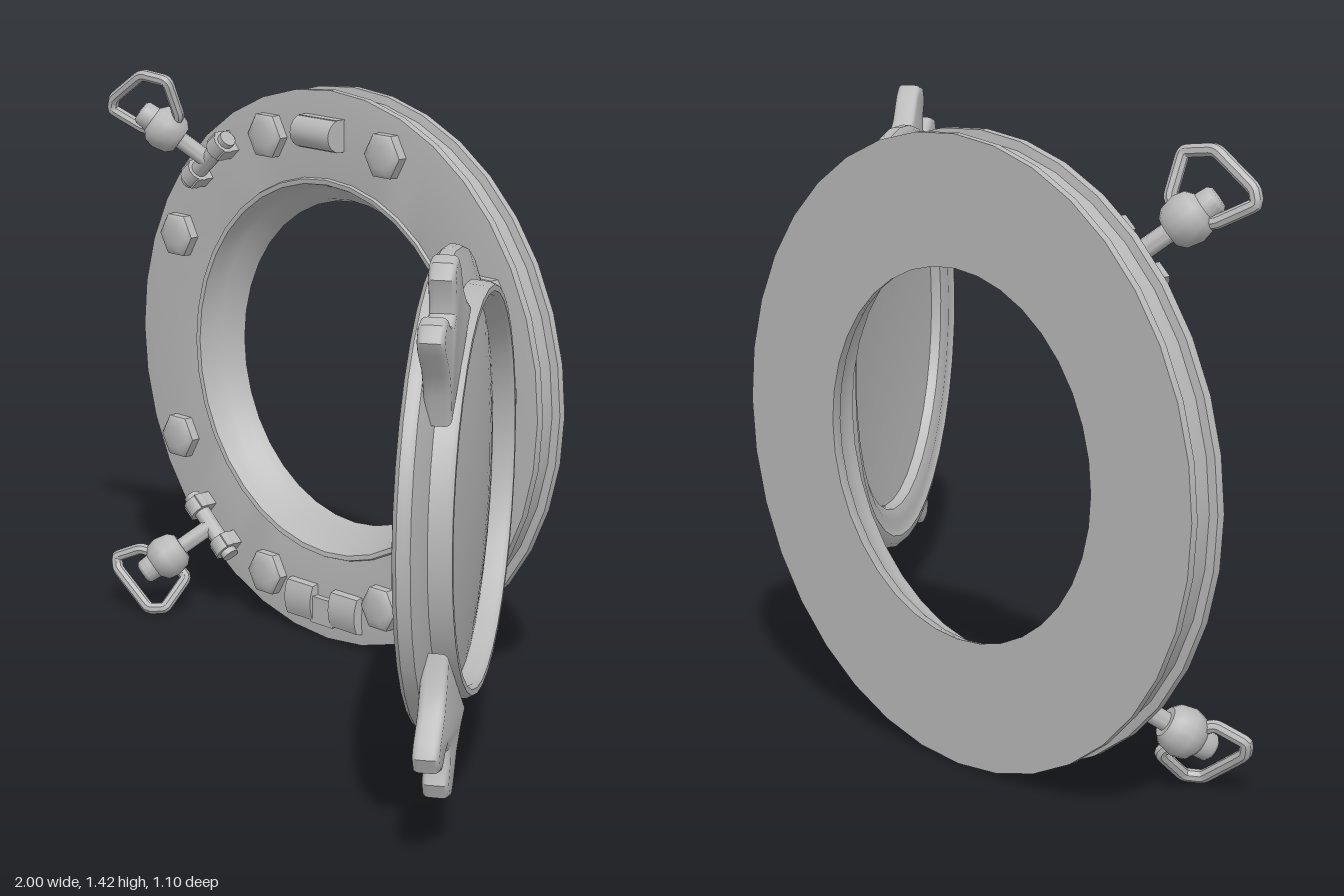
import * as THREE from 'three';
import { toCreasedNormals } from 'three/addons/utils/BufferGeometryUtils.js';

const metal = new THREE.MeshStandardMaterial({ color: 0xb8b8b8, side: THREE.DoubleSide });
metal.name = 'grey metal';

const V = (x, y, z) => new THREE.Vector3(x, y, z);

function add(parent, name, geometry, x = 0, y = 0, z = 0) {
  const mesh = new THREE.Mesh(toCreasedNormals(geometry, 0.75), metal);
  mesh.name = name;
  mesh.position.set(x, y, z);
  parent.add(mesh);
  return mesh;
}

// Turned ring or cap whose axis points along z; points are [radius, z]
function turned(points, segments = 36) {
  const g = new THREE.LatheGeometry(points.map(p => new THREE.Vector2(p[0], p[1])), segments);
  return g.rotateX(Math.PI / 2);
}

// Straight rod between two points
function rod(parent, name, a, b, radius) {
  const d = b.clone().sub(a);
  const m = add(parent, name, new THREE.CylinderGeometry(radius, radius, d.length(), 12));
  m.position.copy(a).add(b).multiplyScalar(0.5);
  m.quaternion.setFromUnitVectors(V(0, 1, 0), d.normalize());
}

function buildFrame() {
  const frame = new THREE.Group();
  frame.name = 'frame';
  frame.position.set(-0.295, 0.71, -0.5);

  // Double-flanged ring with a raised inner lip and a sloping inner wall
  add(frame, 'frameRing', turned([
    [0.415, -0.05], [0.705, -0.05], [0.705, -0.033], [0.685, -0.028], [0.685, 0.022],
    [0.705, 0.026], [0.705, 0.045], [0.66, 0.049], [0.487, 0.05], [0.484, 0.058],
    [0.472, 0.056], [0.464, 0.035], [0.452, 0], [0.425, -0.02], [0.415, -0.05],
  ]));

  // Hexagonal bolts
  for (const deg of [26.4, 70, 110, 153.6, 206.4, 250, 290, 333.6]) {
    const a = deg * Math.PI / 180;
    const bolt = turned([[0.06, 0], [0.06, 0.028], [0.05, 0.037], [0.03, 0.042], [0, 0.043]], 6);
    bolt.rotateZ(Math.PI / 2);
    add(frame, 'bolt', bolt, 0.608 * Math.cos(a), 0.608 * Math.sin(a), 0.045);
  }

  // Top stop: a rounded block across the ring
  const stop = new THREE.CylinderGeometry(0.04, 0.04, 0.135, 16).rotateZ(Math.PI / 2);
  add(frame, 'topStop', stop, -0.013, 0.6, 0.065);
  add(frame, 'topStopBase', new THREE.BoxGeometry(0.135, 0.08, 0.03), -0.013, 0.6, 0.06);

  // Bottom rest: two pads joined by a narrow bridge
  for (const s of [-1, 1]) {
    const pad = new THREE.Shape();
    pad.moveTo(-0.05, 0);
    pad.lineTo(0.05, 0);
    pad.lineTo(0.045, 0.022);
    pad.quadraticCurveTo(0, 0.042, -0.045, 0.022);
    pad.closePath();
    const g = new THREE.ExtrudeGeometry(pad, { depth: 0.095, bevelEnabled: false, curveSegments: 6 });
    g.translate(0, 0, -0.0475).rotateY(Math.PI / 2).rotateX(Math.PI / 2);
    add(frame, 'bottomPad', g, s * 0.08, -0.615, 0.045);
  }
  add(frame, 'bottomBridge', new THREE.BoxGeometry(0.08, 0.07, 0.025), 0, -0.63, 0.055);
  return frame;
}

// Swing bolt: bracket ears, pin, shaft, round nut and a bent wire handle
function buildLatch(pivot, nut, handlePoints, name) {
  const latch = new THREE.Group();
  latch.name = name;
  const up = Math.sign(pivot.y - 0.71);
  const tangent = V(0.76, up * 0.65, 0);
  const at = k => pivot.clone().addScaledVector(tangent, k);
  rod(latch, 'latchPin', at(-0.1), at(0.1), 0.022);
  for (const s of [-1, 1]) {
    const ear = add(latch, 'latchEar', new THREE.BoxGeometry(0.04, 0.06, 0.06));
    ear.position.copy(at(s * 0.065)).add(V(0, 0, -0.012));
    ear.rotation.z = Math.atan2(tangent.y, tangent.x);
    rod(latch, 'latchEarRound', at(s * 0.045), at(s * 0.085), 0.032);
  }
  const dir = nut.clone().sub(pivot).normalize();
  rod(latch, 'latchShaft', pivot, nut, 0.022);
  const body = new THREE.LatheGeometry([
    [0, -0.05], [0.035, -0.05], [0.05, -0.035], [0.058, 0], [0.052, 0.025],
    [0.034, 0.04], [0.032, 0.068], [0.024, 0.076], [0, 0.078],
  ].map(p => new THREE.Vector2(...p)), 16);
  const nutMesh = add(latch, 'latchNut', body);
  nutMesh.position.copy(nut);
  nutMesh.quaternion.setFromUnitVectors(V(0, 1, 0), dir);

  // Handle wire, with rounded corners and both ends sunk into the nut
  const pts = [nut, ...handlePoints, nut];
  const path = new THREE.CurvePath();
  let from = pts[0];
  for (let i = 1; i < pts.length - 1; i++) {
    const before = pts[i].clone().lerp(pts[i - 1], 0.14);
    const after = pts[i].clone().lerp(pts[i + 1], 0.14);
    path.add(new THREE.LineCurve3(from, before));
    path.add(new THREE.QuadraticBezierCurve3(before, pts[i], after));
    from = after;
  }
  path.add(new THREE.LineCurve3(from, pts[pts.length - 1]));
  add(latch, 'latchHandle', new THREE.TubeGeometry(path, 80, 0.015, 8, false));
  return latch;
}

function buildDoor() {
  const door = new THREE.Group();
  door.name = 'door';
  door.position.set(0.638, 0.71, 0.116);
  door.rotation.y = -0.969;

  // Sloping flange with the collar on its outer side
  add(door, 'doorRing', turned([
    [0.425, -0.096], [0.433, -0.106], [0.446, -0.106], [0.452, -0.096], [0.456, -0.056], [0.49, -0.046],
    [0.525, -0.033], [0.53, -0.022], [0.53, -0.004], [0.52, 0.006], [0.5, 0.01], [0.485, 0],
    [0.465, 0.002], [0.435, -0.012], [0.428, -0.03], [0.425, -0.096],
  ]));

  // Domed pane with an inner and an outer face
  const pane = [];
  for (let i = 0; i <= 8; i++) {
    const k = i / 8;
    pane.push([0.432 * k, -0.09 + 0.035 * k * k]);
  }
  for (let i = 8; i >= 0; i--) {
    const k = i / 8;
    pane.push([0.432 * k, -0.06 + 0.025 * k * k]);
  }
  add(door, 'pane', turned(pane));

  // Forked ears that take the swing bolts
  const fork = new THREE.Shape();
  const outline = [
    [0.45, 0.145], [0.5, 0.12], [0.56, 0.105], [0.63, 0.112], [0.655, 0.106], [0.667, 0.08],
    [0.655, 0.055], [0.615, 0.042], [0.585, 0.02],
  ];
  outline.forEach((p, i) => (i ? fork.lineTo(p[0], p[1]) : fork.moveTo(p[0], p[1])));
  outline.reverse().forEach(p => fork.lineTo(p[0], -p[1]));
  fork.closePath();
  for (const s of [-1, 1]) {
    const g = new THREE.ExtrudeGeometry(fork, {
      depth: 0.03, bevelEnabled: true, bevelSize: 0.01, bevelThickness: 0.014, bevelSegments: 3,
    });
    g.translate(0, 0, -0.08);
    add(door, 'forkedEar', g).rotation.z = s * 0.885;
  }

  // Hinge arms
  for (const s of [-1, 1]) {
    add(door, 'hingeArm', new THREE.BoxGeometry(0.15, 0.055, 0.06), -0.545, s * 0.105, -0.026);
    add(door, 'hingeArmEnd', new THREE.CylinderGeometry(0.035, 0.035, 0.055, 16), -0.615, s * 0.105, -0.025);
  }
  return door;
}

export function createModel() {
  const model = new THREE.Group();
  model.name = 'porthole';
  model.add(buildFrame(), buildDoor());

  // Hinge barrel, pin and caps
  const hinge = new THREE.Group();
  hinge.name = 'hinge';
  hinge.position.set(0.31, 0.71, -0.405);
  add(hinge, 'hingeBarrel', new THREE.CylinderGeometry(0.036, 0.036, 0.14, 16));
  add(hinge, 'hingeBase', new THREE.BoxGeometry(0.07, 0.14, 0.06), 0, 0, -0.03);
  add(hinge, 'hingePin', new THREE.CylinderGeometry(0.015, 0.015, 0.32, 12));
  for (const s of [-1, 1]) {
    add(hinge, 'hingePinCap', new THREE.CylinderGeometry(0.026, 0.026, 0.022, 12), 0, s * 0.152, 0);
  }
  model.add(hinge);

  model.add(buildLatch(V(-0.705, 1.195, -0.42), V(-0.785, 1.275, -0.345), [
    V(-0.84, 1.27, -0.325), V(-0.92, 1.315, -0.285), V(-0.91, 1.345, -0.283),
    V(-0.81, 1.415, -0.292), V(-0.735, 1.405, -0.31), V(-0.735, 1.31, -0.35),
  ], 'upperLatch'));
  model.add(buildLatch(V(-0.7, 0.225, -0.42), V(-0.765, 0.145, -0.32), [
    V(-0.82, 0.165, -0.28), V(-0.885, 0.135, -0.25), V(-0.875, 0.105, -0.245),
    V(-0.755, 0.022, -0.248), V(-0.722, 0.025, -0.275), V(-0.72, 0.095, -0.35),
  ], 'lowerLatch'));
  return model;
}
